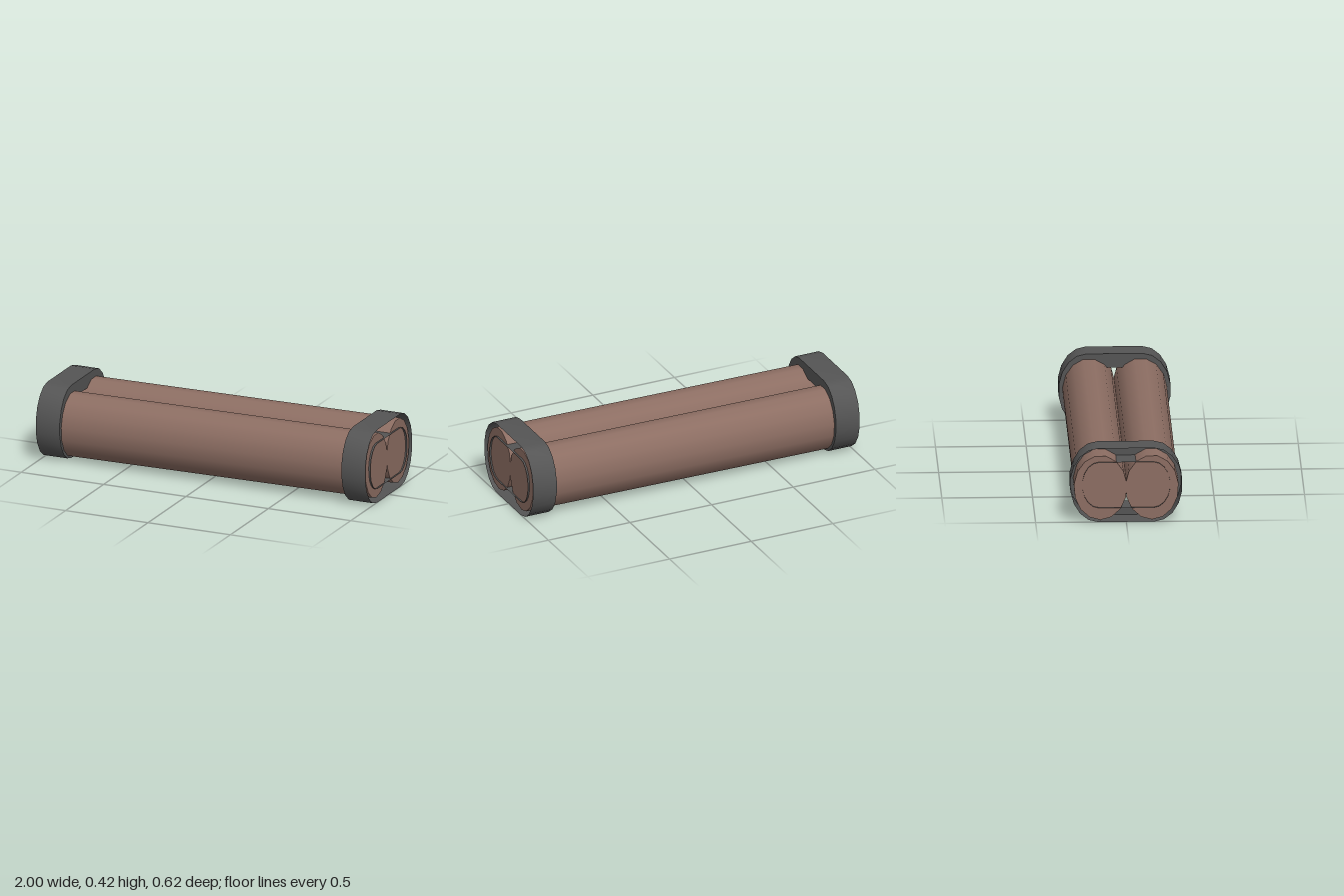
import * as THREE from 'three';

const MID_Y = 0.214;
const ARC = 9; // segments in each rounded side

// Rounded outline in (z, y): two half ellipses joined by straight edges
function outline(straight, rz, ry) {
  const pts = [];
  for (const side of [1, -1]) {
    for (let i = 0; i <= ARC; i++) {
      const a = -Math.PI / 2 + (Math.PI * i) / ARC;
      pts.push(new THREE.Vector2(side * (straight + rz * Math.cos(a)), MID_Y + side * ry * Math.sin(a)));
    }
  }
  return pts;
}

// Smooth wall following an outline between x0 and x1 (x1 > x0)
function wallGeometry(pts, x0, x1) {
  const pos = [], idx = [], n = pts.length;
  pts.forEach((p, i) => {
    pos.push(x0, p.y, p.x, x1, p.y, p.x);
    const a = 2 * i, b = 2 * ((i + 1) % n);
    idx.push(a, b, a + 1, b, b + 1, a + 1);
  });
  const g = new THREE.BufferGeometry();
  g.setAttribute('position', new THREE.Float32BufferAttribute(pos, 3));
  g.setIndex(idx);
  g.computeVertexNormals();
  return g;
}

export function createModel() {
  const model = new THREE.Group();
  const wood = new THREE.MeshStandardMaterial({ color: 0x8d6e63 });
  wood.name = 'brown';
  const metal = new THREE.MeshStandardMaterial({ color: 0x555555, side: THREE.DoubleSide });
  metal.name = 'dark grey';

  const add = (parent, name, geometry, material) => {
    const mesh = new THREE.Mesh(geometry, material);
    mesh.name = name;
    parent.add(mesh);
    return mesh;
  };

  // Two oval rods side by side, rising slightly towards +x
  const rodGeometry = new THREE.CylinderGeometry(1, 1, 1.98, 15, 1, false, Math.PI / 2);
  rodGeometry.rotateZ(-Math.PI / 2).scale(1, 0.185, 0.147);
  for (const s of [1, -1]) {
    const rod = add(model, s > 0 ? 'frontRod' : 'backRod', rodGeometry, wood);
    rod.position.set(0, 0.2055, s * 0.142);
    rod.rotation.z = 0.0085;
  }

  // Hollow end bands, open outward and closed on the inward face
  const outer = outline(0.155, 0.155, 0.211);
  const inner = outline(0.15, 0.093, 0.131);
  const plate = new THREE.Shape(outer);
  plate.holes.push(new THREE.Path(inner));
  for (const s of [1, -1]) {
    const band = new THREE.Group();
    band.name = s > 0 ? 'leftBand' : 'rightBand';
    const x0 = s > 0 ? 0.855 : -1;
    add(band, 'bandOuterWall', wallGeometry(outer, x0, x0 + 0.145), metal);
    add(band, 'bandInnerWall', wallGeometry(inner, x0, x0 + 0.145), metal);
    const face = new THREE.ShapeGeometry(plate).rotateY(-Math.PI / 2).translate(s * 0.855, 0, 0);
    add(band, 'bandInwardFace', face, metal);
    model.add(band);
  }
  return model;
}
